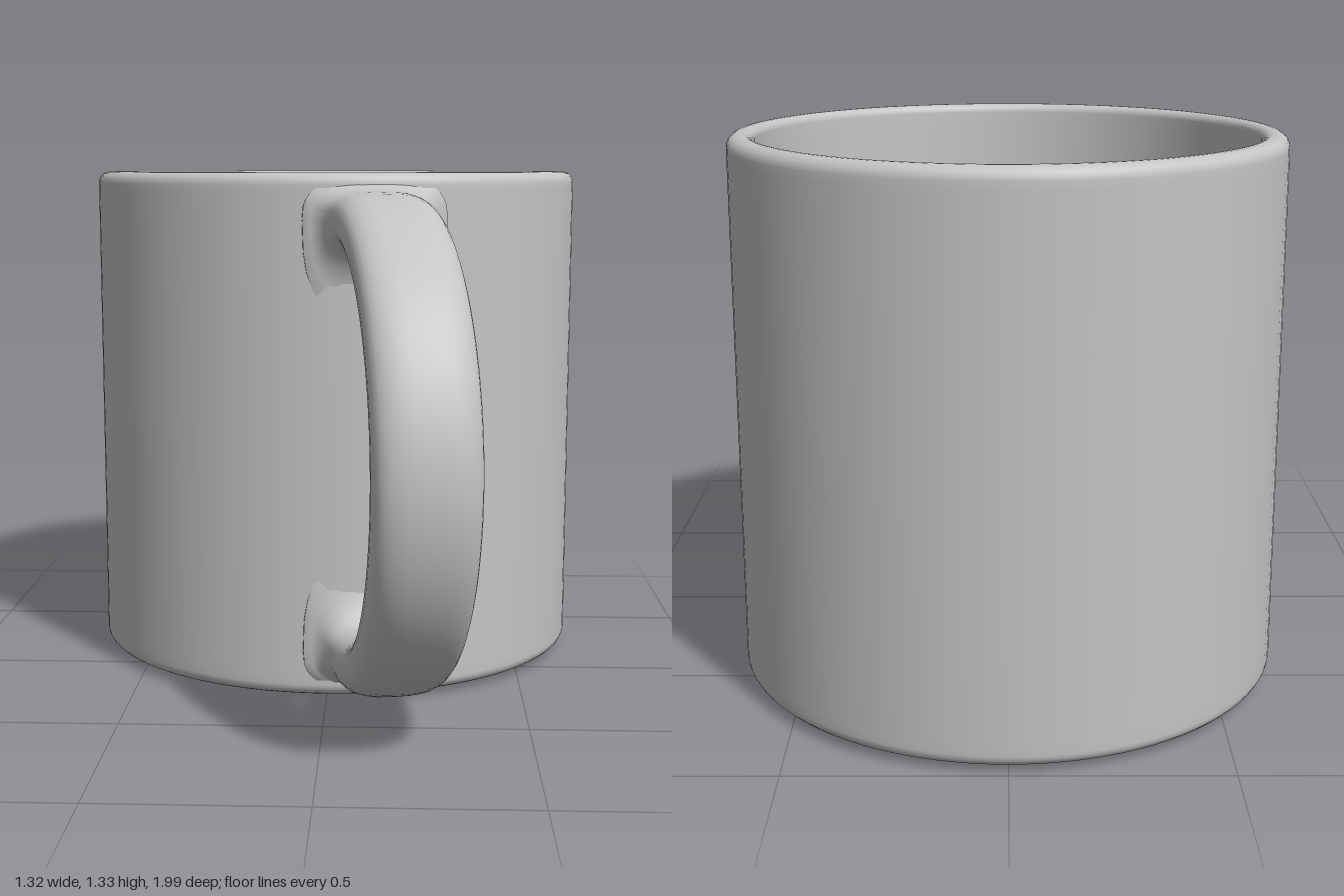
import * as THREE from 'three';

const clay = new THREE.MeshStandardMaterial({ color: 0xc4c4c4 });
clay.name = 'grey ceramic';

const R = 0.66, H = 1.33;

// Quarter-round corner points for the lathe profile
function corner(cx, cy, r, from, to, steps = 5) {
  return Array.from({ length: steps + 1 }, (_, i) => {
    const a = THREE.MathUtils.degToRad(from + (to - from) * i / steps);
    return new THREE.Vector2(cx + r * Math.cos(a), cy + r * Math.sin(a));
  });
}

// Hollow cup: slightly domed underside, straight wall, rounded rim, inner wall, floor
function makeCup() {
  const v = (x, y) => new THREE.Vector2(x, y);
  const profile = [
    v(0, 0), v(0.3, 0.004), v(0.55, 0.01),
    ...corner(R - 0.03, 0.045, 0.03, -90, 0),
    v(R, 0.07), v(R, H - 0.05),
    ...corner(R - 0.03, H - 0.03, 0.03, 0, 90),
    ...corner(0.62, H - 0.02, 0.02, 90, 180),
    v(0.6, H - 0.05), v(0.592, 0.14),
    ...corner(0.562, 0.11, 0.03, 0, -90),
    v(0.53, 0.08), v(0, 0.08),
  ];
  const cup = new THREE.Mesh(new THREE.LatheGeometry(profile, 96), clay);
  cup.name = 'cup';
  return cup;
}

// Handle: rounded section swept along a half ellipse, flaring where it meets the wall
function makeHandle() {
  const sides = 32, stem = 14, arc = 48;
  const startR = 0.625, bendR = 0.71, midY = 0.675, rz = 0.57, ry = 0.54;
  const stations = [];
  const addStem = (t, s) => stations.push({
    z: startR + (bendR - startR) * t, y: midY + s * ry, ny: s, nz: 0,
  });
  for (let i = 0; i < stem; i++) addStem(i / stem, 1);
  for (let i = 0; i <= arc; i++) {
    const a = Math.PI * (0.5 - i / arc), c = Math.cos(a), s = Math.sin(a);
    const len = Math.hypot(c / rz, s / ry);
    stations.push({ z: bendR + rz * c, y: midY + ry * s, nz: c / rz / len, ny: s / ry / len });
  }
  for (let i = stem - 1; i >= 0; i--) addStem(i / stem, -1);

  const round = (v) => Math.sign(v) * Math.abs(v) ** 0.72;
  const positions = [], index = [];
  stations.forEach(({ y, z, ny, nz }, i) => {
    const t = THREE.MathUtils.clamp((0.73 - z) / 0.085, 0, 1);
    const flare = 1 - Math.sqrt(1 - t * t);
    for (let j = 0; j < sides; j++) {
      const p = j / sides * Math.PI * 2;
      const across = round(Math.cos(p)) * (0.12 + 0.06 * flare);
      const s = round(Math.sin(p));
      const out = s * (0.07 + (s > 0 ? 0.035 : 0.18) * flare);
      positions.push(across, y + ny * out, z + nz * out);
      if (i < stations.length - 1) {
        const a = i * sides + j, b = i * sides + (j + 1) % sides;
        index.push(a, b, a + sides, b, b + sides, a + sides);
      }
    }
  });
  const geometry = new THREE.BufferGeometry();
  geometry.setAttribute('position', new THREE.Float32BufferAttribute(positions, 3));
  geometry.setIndex(index);
  geometry.computeVertexNormals();
  const handle = new THREE.Mesh(geometry, clay);
  handle.name = 'handle';
  handle.rotation.y = Math.atan(0.19); // swung slightly toward +x
  return handle;
}

export function createModel() {
  const mug = new THREE.Group();
  mug.name = 'mug';
  mug.add(makeCup(), makeHandle());
  mug.children.forEach((part) => { part.position.z = -0.34; });
  return mug;
}
